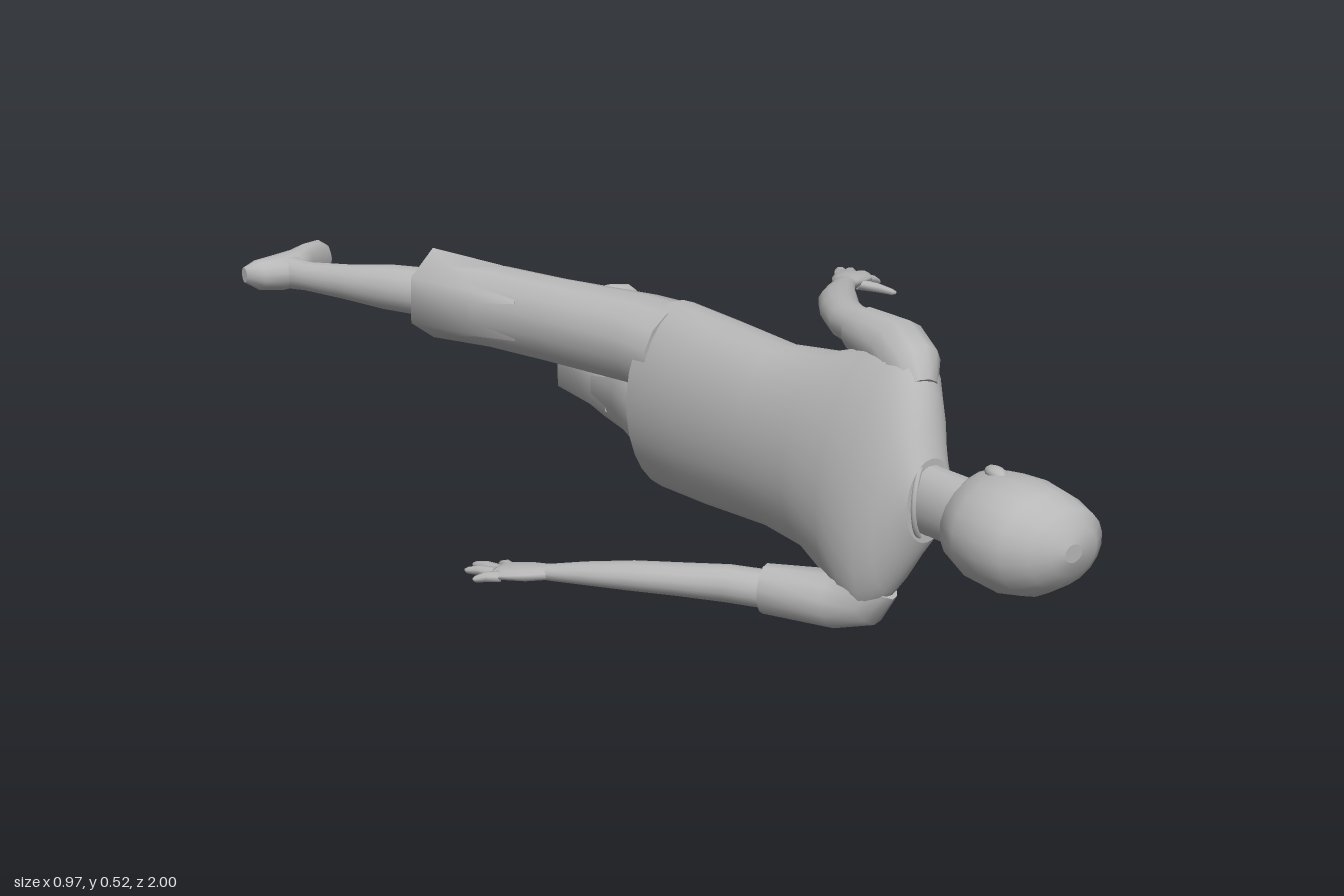
import * as THREE from 'three';

const Z = new THREE.Vector3(0, 0, 1), X = new THREE.Vector3(1, 0, 0), UP = new THREE.Vector3(0, 1, 0);

// Smooth skin over ellipses: rows of [x, y, z, radius across, radius in y, roll].
// Rings face along the path, or along dir when it is given.
function loft(rows, sides = 16, dir = null) {
  const pos = [], idx = [], n = rows.length;
  const centre = i => new THREE.Vector3(...rows[Math.max(0, Math.min(n - 1, i))].slice(0, 3));
  const ring = i => {
    const [, , , ru, rv, roll = 0] = rows[i], c = centre(i);
    const t = dir ? dir.clone() : centre(i + 1).sub(centre(i - 1)).normalize();
    const u = UP.clone().cross(t).normalize(), v = t.clone().cross(u);
    for (let k = 0; k < sides; k++) {
      const a = (k + 0.5) / sides * Math.PI * 2;
      const p = Math.cos(a) * ru, q = Math.sin(a) * rv;
      const P = c.clone()
        .addScaledVector(u, p * Math.cos(roll) - q * Math.sin(roll))
        .addScaledVector(v, p * Math.sin(roll) + q * Math.cos(roll));
      pos.push(P.x, P.y, P.z);
    }
  };
  for (let i = 0; i < n; i++) ring(i);
  for (let i = 0; i < n - 1; i++) for (let k = 0; k < sides; k++) {
    const a = i * sides + k, b = i * sides + (k + 1) % sides;
    idx.push(a, b, b + sides, a, b + sides, a + sides);
  }
  // end caps with their own corners so the rims stay sharp
  for (const end of [0, n - 1]) {
    const base = pos.length / 3;
    ring(end);
    pos.push(...rows[end].slice(0, 3));
    for (let k = 0; k < sides; k++) {
      const a = base + k, b = base + (k + 1) % sides, m = base + sides;
      if (end) idx.push(a, b, m); else idx.push(b, a, m);
    }
  }
  const g = new THREE.BufferGeometry();
  g.setAttribute('position', new THREE.Float32BufferAttribute(pos, 3));
  g.setIndex(idx);
  g.computeVertexNormals();
  return g;
}

export function createModel() {
  const model = new THREE.Group();
  model.name = 'walkingMan';
  const grey = new THREE.MeshStandardMaterial({ color: 0xb8b8b8 });
  grey.name = 'grey';
  const add = (name, geo) => {
    const m = new THREE.Mesh(geo, grey);
    m.name = name;
    model.add(m);
    return m;
  };
  const blob = (name, x, y, z, sx, sy, sz) => {
    const m = add(name, new THREE.SphereGeometry(1, 12, 8));
    m.position.set(x, y, z);
    m.scale.set(sx, sy, sz);
    return m;
  };

  // Shirt body, from hem to neckline
  add('shirt', loft([
    [-0.027, 0.26, -0.02, 0.115, 0.182, 0],
    [-0.027, 0.262, 0.12, 0.111, 0.178, 0],
    [-0.024, 0.265, 0.3, 0.102, 0.168, -0.03],
    [-0.022, 0.27, 0.42, 0.098, 0.178, -0.1],
    [-0.022, 0.27, 0.52, 0.098, 0.212, -0.18],
    [-0.025, 0.268, 0.58, 0.09, 0.238, -0.24],
    [-0.03, 0.267, 0.62, 0.078, 0.22, -0.25],
    [-0.032, 0.265, 0.652, 0.066, 0.172, -0.24],
    [-0.03, 0.264, 0.676, 0.056, 0.115, -0.2],
    [-0.026, 0.262, 0.695, 0.048, 0.072, -0.1],
  ], 28, Z));
  const collar = add('collar', new THREE.TorusGeometry(0.058, 0.005, 8, 24));
  collar.position.set(-0.018, 0.262, 0.677);
  collar.rotation.y = 0.5;
  collar.scale.set(0.95, 1.2, 1);

  // Neck and head
  add('neck', loft([
    [-0.02, 0.262, 0.64, 0.05, 0.068], [-0.022, 0.262, 0.7, 0.044, 0.06], [-0.015, 0.26, 0.8, 0.048, 0.06],
  ], 16, Z));
  add('head', loft([
    [0.07, 0.26, 0.727, 0.026, 0.028],
    [0.057, 0.26, 0.74, 0.044, 0.046],
    [0.025, 0.26, 0.768, 0.076, 0.066],
    [-0.003, 0.26, 0.805, 0.097, 0.081],
    [-0.012, 0.26, 0.85, 0.103, 0.091],
    [-0.011, 0.26, 0.9, 0.104, 0.094],
    [-0.006, 0.26, 0.945, 0.096, 0.085],
    [0.009, 0.26, 0.975, 0.079, 0.064],
    [0.01, 0.26, 0.992, 0.05, 0.04],
    [0.003, 0.26, 1.0, 0.018, 0.015],
  ], 20, Z));
  add('nose', loft([
    [0.086, 0.26, 0.798, 0.014, 0.016], [0.097, 0.26, 0.81, 0.016, 0.013], [0.086, 0.26, 0.86, 0.009, 0.008],
  ], 8, Z));
  blob('lips', 0.088, 0.26, 0.77, 0.009, 0.024, 0.007);
  for (const s of [-1, 1]) {
    blob('ear', -0.012, 0.26 + s * 0.087, 0.835, 0.015, 0.011, 0.027).rotation.y = -0.25;
    blob('eye', 0.077, 0.26 + s * 0.034, 0.856, 0.009, 0.014, 0.006);
    blob('brow', 0.077, 0.26 + s * 0.036, 0.876, 0.009, 0.02, 0.004);
  }

  // Sleeves and bare arms
  add('leftSleeve', loft([
    [0.01, 0.42, 0.615, 0.035, 0.045], [0.02, 0.452, 0.585, 0.052, 0.058],
    [0.03, 0.473, 0.54, 0.055, 0.053], [0.04, 0.481, 0.435, 0.045, 0.04],
  ], 12));
  add('leftArm', loft([
    [0.038, 0.481, 0.47, 0.037, 0.033], [0.055, 0.48, 0.38, 0.037, 0.033],
    [0.095, 0.476, 0.305, 0.036, 0.03], [0.15, 0.468, 0.23, 0.036, 0.028],
    [0.22, 0.457, 0.15, 0.027, 0.022], [0.285, 0.449, 0.083, 0.019, 0.014],
  ], 14));
  add('rightSleeve', loft([
    [-0.065, 0.11, 0.615, 0.035, 0.045], [-0.077, 0.078, 0.59, 0.048, 0.058],
    [-0.097, 0.056, 0.54, 0.054, 0.05], [-0.163, 0.055, 0.435, 0.04, 0.044],
  ], 12));
  add('rightArm', loft([
    [-0.145, 0.056, 0.47, 0.032, 0.034], [-0.2, 0.055, 0.38, 0.033, 0.033],
    [-0.25, 0.051, 0.31, 0.032, 0.029], [-0.3, 0.045, 0.235, 0.031, 0.026],
    [-0.35, 0.035, 0.155, 0.025, 0.02], [-0.387, 0.026, 0.095, 0.019, 0.014],
  ], 14));

  // Hands: flat palm, four fingers and a thumb; each finger is [root x, y, z, tip x, y, z]
  const hand = (side, palm, fingers) => {
    add(side + 'Palm', loft(palm, 12));
    fingers.forEach(([x, y, z, tx, ty, tz], i) => add(side + (i === 4 ? 'Thumb' : 'Finger'), loft([
      [x, y, z, 0.013, 0.01],
      [(x + tx) / 2, (y + ty) / 2 + 0.002, (z + tz) / 2, 0.011, 0.009],
      [x + (tx - x) * 0.9, y + (ty - y) * 0.9, z + (tz - z) * 0.9, 0.008, 0.006],
      [tx, ty, tz, 0.003, 0.003],
    ], 8)));
  };
  hand('left', [
    [0.275, 0.45, 0.093, 0.018, 0.013], [0.31, 0.446, 0.062, 0.033, 0.014],
    [0.345, 0.441, 0.032, 0.038, 0.012], [0.362, 0.438, 0.017, 0.032, 0.009],
  ], [
    [0.332, 0.445, 0.01, 0.358, 0.44, -0.024], [0.35, 0.442, 0.01, 0.392, 0.432, -0.027],
    [0.362, 0.438, 0.022, 0.412, 0.427, -0.003], [0.366, 0.436, 0.044, 0.411, 0.421, 0.028],
    [0.315, 0.442, 0.082, 0.386, 0.421, 0.11],
  ]);
  hand('right', [
    [-0.38, 0.028, 0.105, 0.018, 0.013], [-0.405, 0.021, 0.065, 0.032, 0.014],
    [-0.428, 0.015, 0.025, 0.037, 0.011], [-0.438, 0.012, 0.008, 0.03, 0.008],
  ], [
    [-0.45, 0.013, 0.035, -0.487, 0.005, 0.003], [-0.447, 0.013, 0.015, -0.475, 0.005, -0.045],
    [-0.435, 0.013, 0.01, -0.448, 0.005, -0.062], [-0.415, 0.014, 0.015, -0.405, 0.006, -0.035],
    [-0.39, 0.02, 0.075, -0.35, 0.01, 0.06],
  ]);

  // Trousers, with six-sided hems
  add('trouserSeat', loft([
    [-0.015, 0.26, -0.105, 0.035, 0.07], [-0.018, 0.26, -0.075, 0.062, 0.12], [-0.022, 0.26, 0.02, 0.1, 0.172],
  ], 20, Z));
  add('leftTrouserLeg', loft([
    [-0.03, 0.35, 0.0, 0.1, 0.088], [-0.048, 0.353, -0.1, 0.088, 0.086], [-0.115, 0.355, -0.3, 0.071, 0.083],
    [-0.165, 0.36, -0.43, 0.067, 0.083], [-0.21, 0.364, -0.54, 0.066, 0.076],
  ], 14));
  add('leftTrouserHem', loft([
    [-0.135, 0.358, -0.35, 0.07, 0.078], [-0.165, 0.36, -0.43, 0.074, 0.085], [-0.227, 0.365, -0.58, 0.081, 0.092],
  ], 6));
  add('rightTrouserLeg', loft([
    [0.0, 0.172, 0.0, 0.088, 0.085], [0.02, 0.17, -0.1, 0.075, 0.085], [0.077, 0.168, -0.3, 0.061, 0.083],
    [0.105, 0.165, -0.43, 0.062, 0.083], [0.128, 0.162, -0.54, 0.064, 0.076],
  ], 14));
  add('rightTrouserHem', loft([
    [0.088, 0.166, -0.35, 0.064, 0.078], [0.105, 0.165, -0.43, 0.071, 0.085], [0.138, 0.161, -0.582, 0.081, 0.092],
  ], 6));

  // Shins
  add('leftShin', loft([
    [-0.22, 0.366, -0.56, 0.047, 0.05], [-0.28, 0.366, -0.67, 0.044, 0.046],
    [-0.325, 0.364, -0.76, 0.034, 0.036], [-0.365, 0.362, -0.85, 0.027, 0.03], [-0.385, 0.362, -0.91, 0.032, 0.034],
  ], 14));
  add('rightShin', loft([
    [0.133, 0.166, -0.56, 0.045, 0.045], [0.168, 0.168, -0.67, 0.043, 0.042],
    [0.2, 0.168, -0.76, 0.034, 0.033], [0.234, 0.168, -0.85, 0.027, 0.028], [0.258, 0.167, -0.92, 0.03, 0.032],
  ], 14));

  // Feet, from heel to toe
  add('leftFoot', loft([
    [-0.468, 0.362, -0.935, 0.012, 0.016], [-0.445, 0.362, -0.918, 0.036, 0.031],
    [-0.4, 0.362, -0.915, 0.05, 0.036], [-0.355, 0.362, -0.93, 0.045, 0.038],
    [-0.32, 0.362, -0.952, 0.034, 0.042], [-0.28, 0.36, -0.974, 0.023, 0.042],
    [-0.256, 0.358, -0.98, 0.016, 0.028], [-0.249, 0.357, -0.983, 0.007, 0.012],
  ], 14, X));
  add('rightFoot', loft([
    [0.222, 0.165, -0.905, 0.016, 0.018], [0.24, 0.165, -0.92, 0.045, 0.031],
    [0.27, 0.165, -0.936, 0.062, 0.035], [0.31, 0.164, -0.942, 0.044, 0.036],
    [0.36, 0.164, -0.936, 0.032, 0.04], [0.42, 0.165, -0.927, 0.024, 0.045],
    [0.465, 0.168, -0.92, 0.017, 0.036], [0.484, 0.17, -0.918, 0.008, 0.018],
  ], 14, X));
  return model;
}
